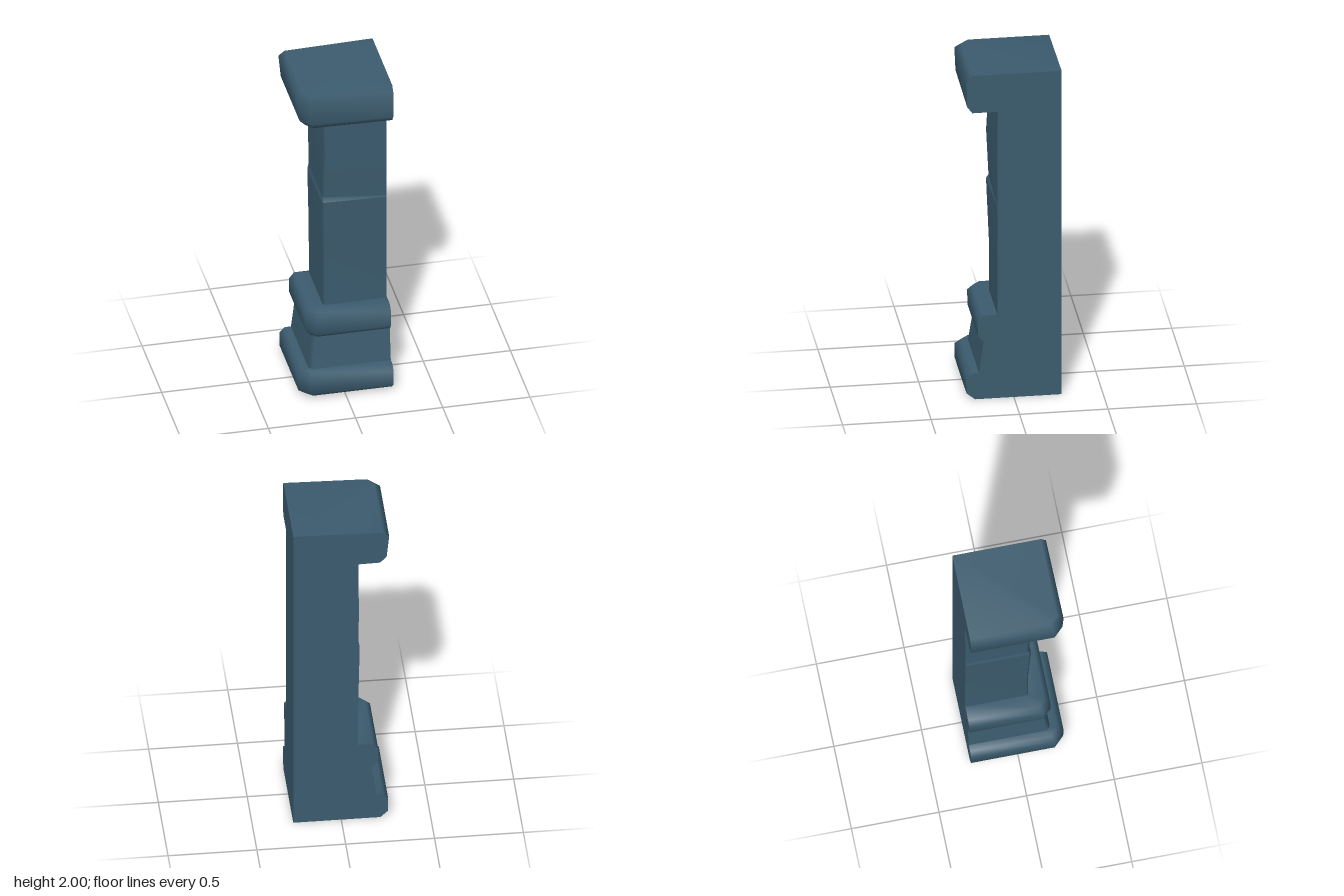
import * as THREE from 'three';

const E = 0.27; // the two flat cut sides lie at x = E and z = -E

const slate = new THREE.MeshStandardMaterial({ color: 0x3b5b6e });
slate.name = 'slate blue stone';

// Joins columns of points, level by level, into one smooth surface.
function loft(levels) {
  const n = levels[0].length;
  const index = [];
  for (let j = 0; j < levels.length - 1; j++) {
    for (let i = 0; i < n - 1; i++) {
      const p = j * n + i, q = p + n;
      index.push(p, p + 1, q, p + 1, q + 1, q);
    }
  }
  const g = new THREE.BufferGeometry();
  g.setAttribute('position', new THREE.Float32BufferAttribute(levels.flat(2), 3));
  g.setIndex(index);
  g.computeVertexNormals();
  return g;
}

// Level: [y, left reach, front reach, corner chamfer, front reach at cut side, tilt along x]
function levelPoints([y, left, front, c, frontCut = front, tilt = 0]) {
  const at = (x, z) => [x, y + tilt * (x - E), z];
  return [at(-left, -E), at(-left, front - c), at(-left + c, front), at(E, frontCut), at(E, -E)];
}

function addPart(group, name, rows) {
  const part = new THREE.Group();
  part.name = name;
  const rings = rows.map(levelPoints);
  const add = (label, levels) => {
    const m = new THREE.Mesh(loft(levels), slate);
    m.name = label;
    part.add(m);
  };
  add(name + 'Faces', rings.map(r => r.slice(0, 4)));
  add(name + 'RightCut', rings.map(r => [r[3], r[4]]));
  add(name + 'BackCut', rings.map(r => [r[4], r[0]]));
  group.add(part);
}

export function createModel() {
  const pillar = new THREE.Group();
  pillar.name = 'cornerPillar';

  // Plinth, closed underneath
  addPart(pillar, 'plinth', [
    [0, -E, -E, 0],
    [0, 0.22, 0.22, 0.04],
    [0.04, 0.262, 0.268, 0.06],
    [0.13, 0.264, 0.27, 0.06],
    [0.16, 0.235, 0.235, 0.045],
    [0.16, 0.17, 0.17, 0.02],
  ]);

  // Tapered neck
  addPart(pillar, 'neck', [
    [0.16, 0.198, 0.197, 0.02],
    [0.36, 0.173, 0.17, 0.02],
  ]);

  // Rounded collar
  addPart(pillar, 'collar', [
    [0.356, 0.165, 0.165, 0.02],
    [0.358, 0.178, 0.175, 0.03],
    [0.39, 0.208, 0.203, 0.05],
    [0.48, 0.208, 0.204, 0.05],
    [0.515, 0.18, 0.175, 0.04],
    [0.507, 0.08, 0.08, 0.015],
  ]);

  // Shaft, worn along its outer corner
  addPart(pillar, 'lowerShaft', [
    [0.5, 0.095, 0.092, 0.012],
    [0.82, 0.096, 0.092, 0.012, 0.092],
    [1.175, 0.104, 0.107, 0.012, 0.092, -0.05],
  ]);
  addPart(pillar, 'shaftRidge', [
    [1.175, 0.104, 0.107, 0.012, 0.092, -0.05],
    [1.19, 0.098, 0.094, 0.012, 0.092, -0.08],
  ]);
  addPart(pillar, 'upperShaft', [
    [1.19, 0.098, 0.094, 0.012, 0.092, -0.08],
    [1.5, 0.099, 0.108, 0.018, 0.092],
    [1.79, 0.096, 0.092, 0.012],
  ]);

  // Capital with a slightly sloping top
  addPart(pillar, 'capital', [
    [1.777, 0.08, 0.08, 0.012, 0.08, -0.005],
    [1.77, 0.22, 0.235, 0.04, 0.235, -0.02],
    [1.81, 0.256, 0.264, 0.055, 0.264, -0.02],
    [1.965, 0.27, 0.27, 0.065, 0.264, 0.01],
    [2, 0.235, 0.235, 0.045, 0.235, 0.025],
    [2, -E, -E, 0],
  ]);

  return pillar;
}
